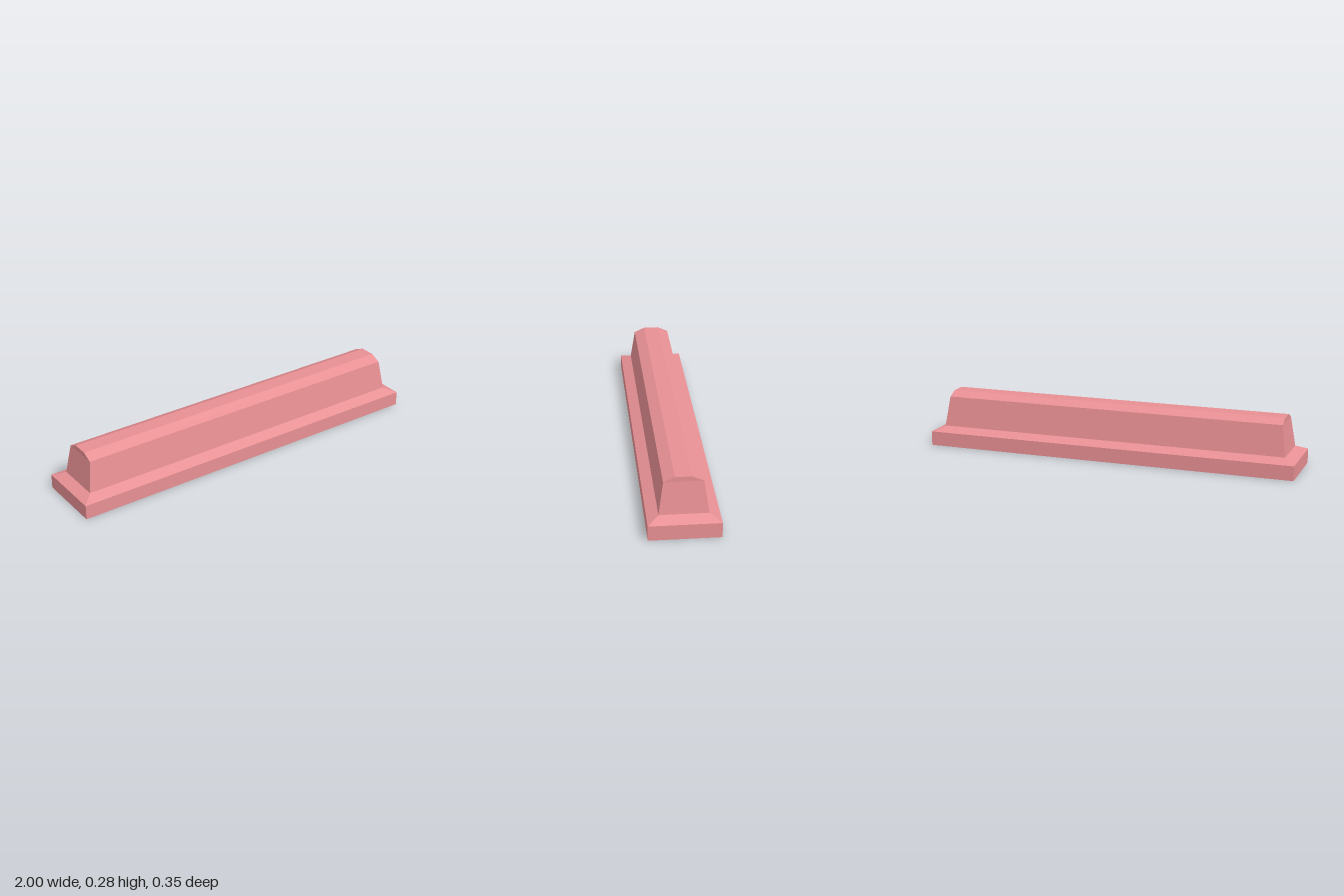
import * as THREE from 'three';

const pink = new THREE.MeshStandardMaterial({ color: 0xe89094 });
pink.name = 'pink';
const red = new THREE.MeshStandardMaterial({ color: 0xe20622 });
red.name = 'red';

// Flat-faced loft through rectangles [halfX, halfZ, y], bottom to top, closed on top if asked
function loft(name, rings, capTop) {
  const pos = [];
  const corner = ([x, z, y], i) => [[x, y, z], [x, y, -z], [-x, y, -z], [-x, y, z]][i % 4];
  const quad = (a, b, c, d) => pos.push(...a, ...b, ...c, ...a, ...c, ...d);
  for (let r = 0; r < rings.length - 1; r++) {
    for (let i = 0; i < 4; i++) {
      quad(corner(rings[r], i), corner(rings[r], i + 1), corner(rings[r + 1], i + 1), corner(rings[r + 1], i));
    }
  }
  if (capTop) {
    const top = rings[rings.length - 1];
    quad(corner(top, 0), corner(top, 1), corner(top, 2), corner(top, 3));
  }
  const geo = new THREE.BufferGeometry();
  geo.setAttribute('position', new THREE.Float32BufferAttribute(pos, 3));
  geo.computeVertexNormals();
  const mesh = new THREE.Mesh(geo, pink);
  mesh.name = name;
  return mesh;
}

export function createModel() {
  const group = new THREE.Group();
  group.name = 'barrier';

  // Plinth with a sloped shoulder
  group.add(loft('plinth', [[1, 0.175, 0], [1, 0.175, 0.076], [0.943, 0.12, 0.101]], false));

  // Tapered wall with a chamfered crown
  group.add(loft('wall', [[0.943, 0.12, 0.101], [0.92, 0.096, 0.26], [0.92, 0.041, 0.285]], true));

  // Underside face
  const underside = new THREE.Mesh(new THREE.PlaneGeometry(2, 0.35).rotateX(Math.PI / 2), red);
  underside.name = 'underside';
  group.add(underside);

  return group;
}
